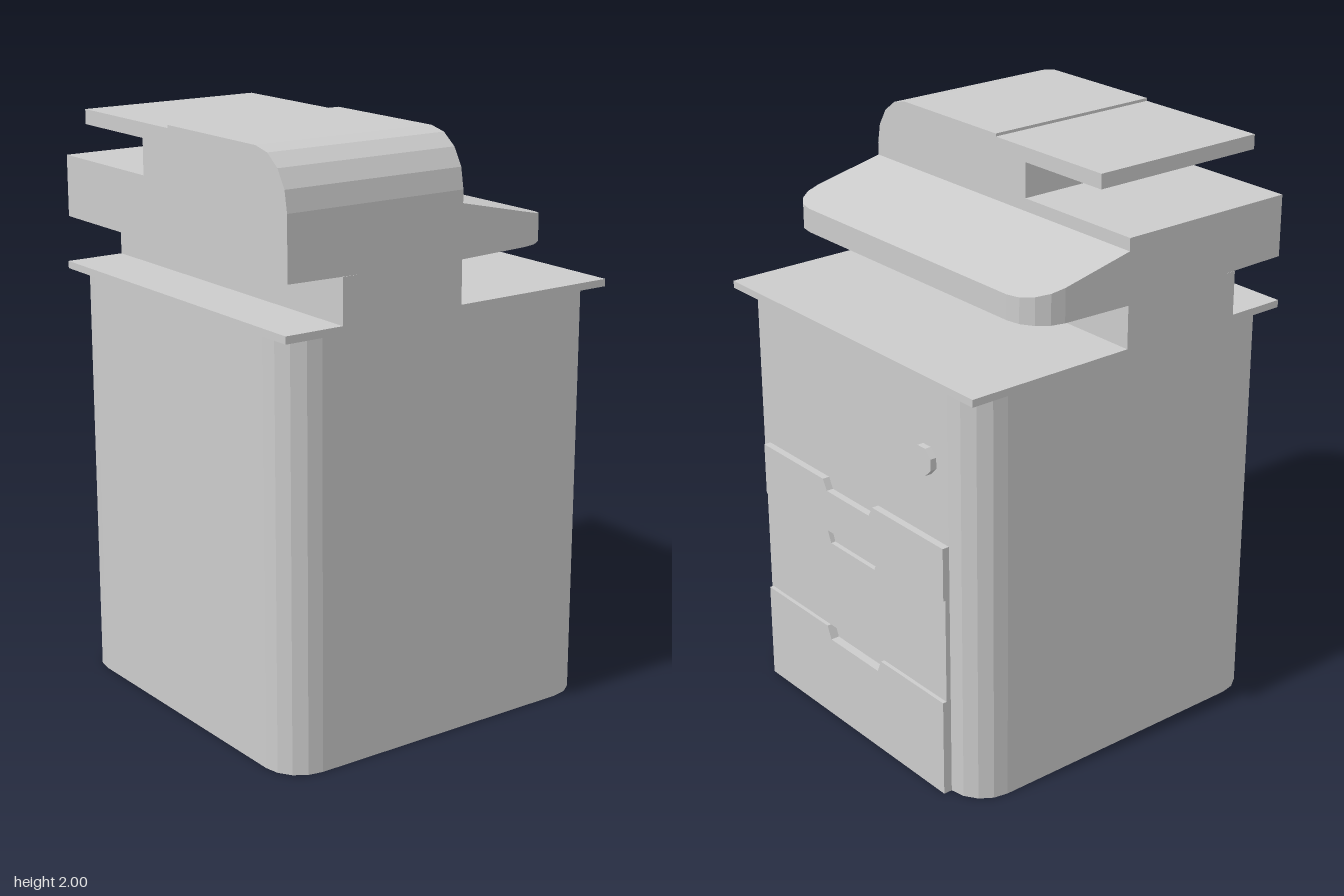
import * as THREE from 'three';

const material = new THREE.MeshStandardMaterial({ color: 0xcccccc, flatShading: true });

function part(name, geometry) {
  const mesh = new THREE.Mesh(geometry, material);
  mesh.name = name;
  return mesh;
}

// Box given by its lower and upper limits
function box(name, [x0, y0, z0], [x1, y1, z1]) {
  const g = new THREE.BoxGeometry(x1 - x0, y1 - y0, z1 - z0);
  g.translate((x0 + x1) / 2, (y0 + y1) / 2, (z0 + z1) / 2);
  return part(name, g);
}

function extrude(points, depth) {
  const shape = new THREE.Shape(points.map(([a, b]) => new THREE.Vector2(a, b)));
  return new THREE.ExtrudeGeometry(shape, { depth, bevelEnabled: false });
}

// [z, y] side profile swept from x0 to x1
function sweepX(profile, x0, x1) {
  const g = extrude(profile.map(([z, y]) => [-z, y]), x1 - x0);
  return g.rotateY(Math.PI / 2).translate(x0, 0, 0);
}

// [x, z] floor plan raised from y0 to y1
function sweepY(plan, y0, y1) {
  const g = extrude(plan.map(([x, z]) => [x, -z]), y1 - y0);
  return g.rotateX(-Math.PI / 2).translate(0, y0, 0);
}

// Quarter arc in four straight steps
function arc(cx, cy, rx, ry, start, steps = 4) {
  return Array.from({ length: steps + 1 }, (_, i) => {
    const a = start + (i / steps) * Math.PI / 2;
    return [cx + rx * Math.cos(a), cy + ry * Math.sin(a)];
  });
}

// Change each vertex height by a rule
function reshapeY(g, rule) {
  const p = g.attributes.position;
  for (let i = 0; i < p.count; i++) p.setY(i, rule(p.getX(i), p.getY(i)));
  g.computeVertexNormals();
  return g;
}

export function createModel() {
  const model = new THREE.Group();
  const H = Math.PI / 2;

  // Cabinet with rounded upright corners
  const r = 0.13, x0 = -0.635, x1 = 0.615, z0 = -0.625, z1 = 0.63;
  const plan = [
    ...arc(x1 - r, z1 - r, r, r, 0),
    ...arc(x0 + r, z1 - r, r, r, H),
    ...arc(x0 + r, z0 + r, r, r, 2 * H),
    ...arc(x1 - r, z0 + r, r, r, 3 * H),
  ];
  model.add(part('cabinet', sweepY(plan, 0, 1.43)));
  model.add(box('topPlate', [-0.65, 1.43, -0.645], [0.637, 1.455, 0.645]));

  // Drawer fronts with a tapered grip cut into the top edge
  const drawers = [
    { name: 'topDrawer', y0: 0.715, y1: 0.9, x: 0.64, grip: [0.15, -0.125], depth: 0.037 },
    { name: 'middleDrawer', y0: 0.345, y1: 0.715, x: 0.632, grip: [0.147, -0.137], depth: 0.048 },
    { name: 'bottomDrawer', y0: 0, y1: 0.345, x: 0.646, grip: [0.147, -0.16], depth: 0.045 },
  ];
  for (const { name, y0, y1, x, grip: [a, b], depth } of drawers) {
    const front = [
      [0.5, y0], [-0.495, y0], [-0.495, y1], [b, y1],
      [b + 0.02, y1 - depth], [a - 0.02, y1 - depth], [a, y1], [0.5, y1],
    ];
    model.add(part(name, sweepX(front, 0.61, x)));
  }

  // Eight-sided lock
  const lock = new THREE.CylinderGeometry(0.05, 0.05, 0.03, 8);
  lock.rotateY(Math.PI / 8).rotateZ(-H).translate(0.622, 1.165, -0.39);
  model.add(part('lock', lock));

  // Neck under the machine head
  model.add(box('neck', [-0.44, 1.455, -0.645], [0.022, 1.606, 0.645]));

  // Head: rounded front, paper tray overhanging a slot at the back
  const profile = [
    [-0.645, 1.6], [0.645, 1.6],
    ...arc(0.485, 1.82, 0.16, 0.18, 0),
    [0, 2], [0, 1.99], [-0.51, 1.99], [-0.51, 1.94],
    [-0.15, 1.94], [-0.15, 1.82], [-0.645, 1.82],
  ];
  const head = reshapeY(sweepX(profile, -0.642, 0.022),
    (x, y) => (y < 1.605 && x < -0.5 ? 1.61 : y));
  model.add(part('head', head));

  // Side shelf: thins outward, outer corners rounded
  const shelfPlan = [
    ...arc(0.28, 0.52, 0.125, 0.125, 0).reverse(),
    ...arc(0.28, -0.52, 0.125, 0.125, -H).reverse(),
    [0.022, -0.645], [0.022, 0.645],
  ];
  const shelf = reshapeY(sweepY(shelfPlan, 0, 1), (x, y) => {
    const t = (x - 0.022) / 0.383;
    return y > 0.5 ? 1.777 - 0.084 * t : 1.6 + 0.01 * t;
  });
  model.add(part('sideShelf', shelf));

  return model;
}
